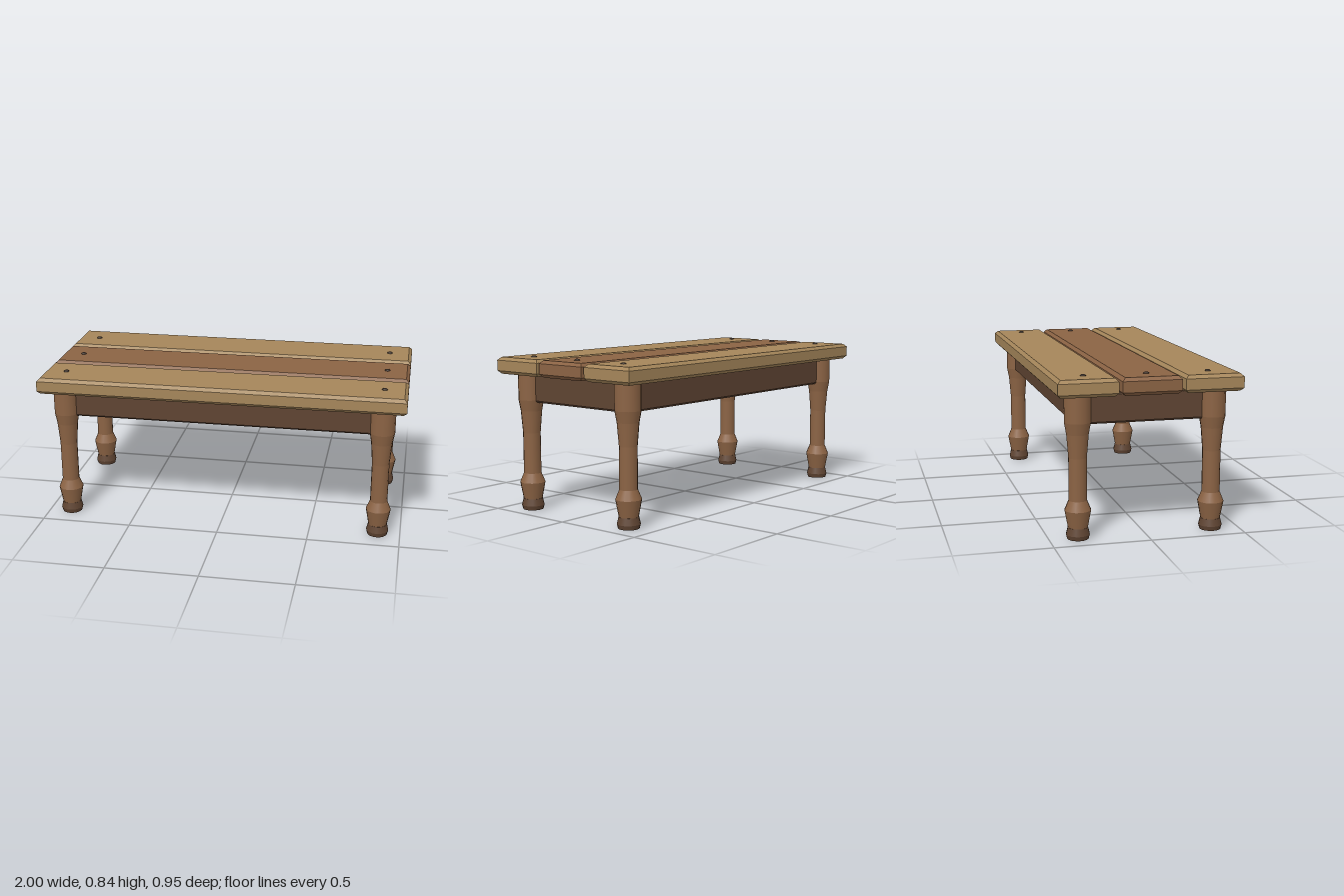
import * as THREE from 'three';

const mat = (name, color) => {
  const m = new THREE.MeshStandardMaterial({ color });
  m.name = name;
  return m;
};

// Box whose top and bottom edges are chamfered by c, centred on the origin
function chamferedBox(w, h, d, c) {
  const x = w / 2 - c, z = d / 2 - c;
  const shape = new THREE.Shape([
    new THREE.Vector2(-x, -z), new THREE.Vector2(x, -z),
    new THREE.Vector2(x, z), new THREE.Vector2(-x, z),
  ]);
  const geo = new THREE.ExtrudeGeometry(shape, {
    depth: h - 2 * c, bevelEnabled: true, bevelSize: c, bevelThickness: c, bevelSegments: 1,
  });
  return geo.rotateX(-Math.PI / 2).translate(0, -h / 2 + c, 0);
}

// Turned post from [radius, y] rings, round about its axis with crisp rings
function turned(name, rings, material) {
  const group = new THREE.Group();
  group.name = name;
  const last = rings.length - 2;
  for (let i = 0; i <= last; i++) {
    const [r0, y0] = rings[i], [r1, y1] = rings[i + 1];
    const open = i > 0 && i < last;
    const mesh = new THREE.Mesh(new THREE.CylinderGeometry(r1, r0, y1 - y0, 16, 1, open), material);
    mesh.position.y = (y0 + y1) / 2;
    mesh.name = name + 'Section';
    group.add(mesh);
  }
  return group;
}

export function createModel() {
  const model = new THREE.Group();
  model.name = 'plankTable';
  const lightWood = mat('lightWood', 0xa5865a);
  const midWood = mat('midWood', 0x8b6344);
  const darkWood = mat('darkWood', 0x5f4432);
  const iron = mat('darkIron', 0x40342c);

  const add = (name, geo, material, x, y, z) => {
    const mesh = new THREE.Mesh(geo, material);
    mesh.name = name;
    mesh.position.set(x, y, z);
    model.add(mesh);
  };

  const legX = 0.875, legZ = 0.352;

  // Three top planks, each with a domed bolt at both ends
  const plank = chamferedBox(2, 0.09, 0.305, 0.017);
  const bolt = new THREE.SphereGeometry(0.016, 8, 3, 0, Math.PI * 2, 0, Math.PI / 2).scale(1, 0.6, 1);
  for (const z of [-0.323, 0, 0.323]) {
    add(z ? 'outerPlank' : 'middlePlank', plank, z ? lightWood : midWood, 0, 0.785, z);
    for (const s of [-1, 1]) add('bolt', bolt, iron, s * legX, 0.829, z);
  }

  // Apron rails between the legs
  const longRail = chamferedBox(legX * 2, 0.157, 0.05, 0.01);
  const shortRail = chamferedBox(0.05, 0.157, legZ * 2, 0.01);
  for (const s of [-1, 1]) {
    add('longRail', longRail, darkWood, 0, 0.667, s * legZ);
    add('shortRail', shortRail, darkWood, s * legX, 0.667, 0);
  }

  // Turned legs on dark feet
  const legRings = [[0.051, 0.06], [0.068, 0.15], [0.047, 0.2], [0.047, 0.42],
    [0.057, 0.54], [0.068, 0.6], [0.068, 0.745]];
  const footRings = [[0.055, 0], [0.061, 0.023], [0.052, 0.06]];
  for (const sx of [-1, 1]) for (const sz of [-1, 1]) {
    for (const part of [turned('leg', legRings, midWood), turned('foot', footRings, darkWood)]) {
      part.position.set(sx * legX, 0, sz * legZ);
      model.add(part);
    }
  }
  return model;
}
